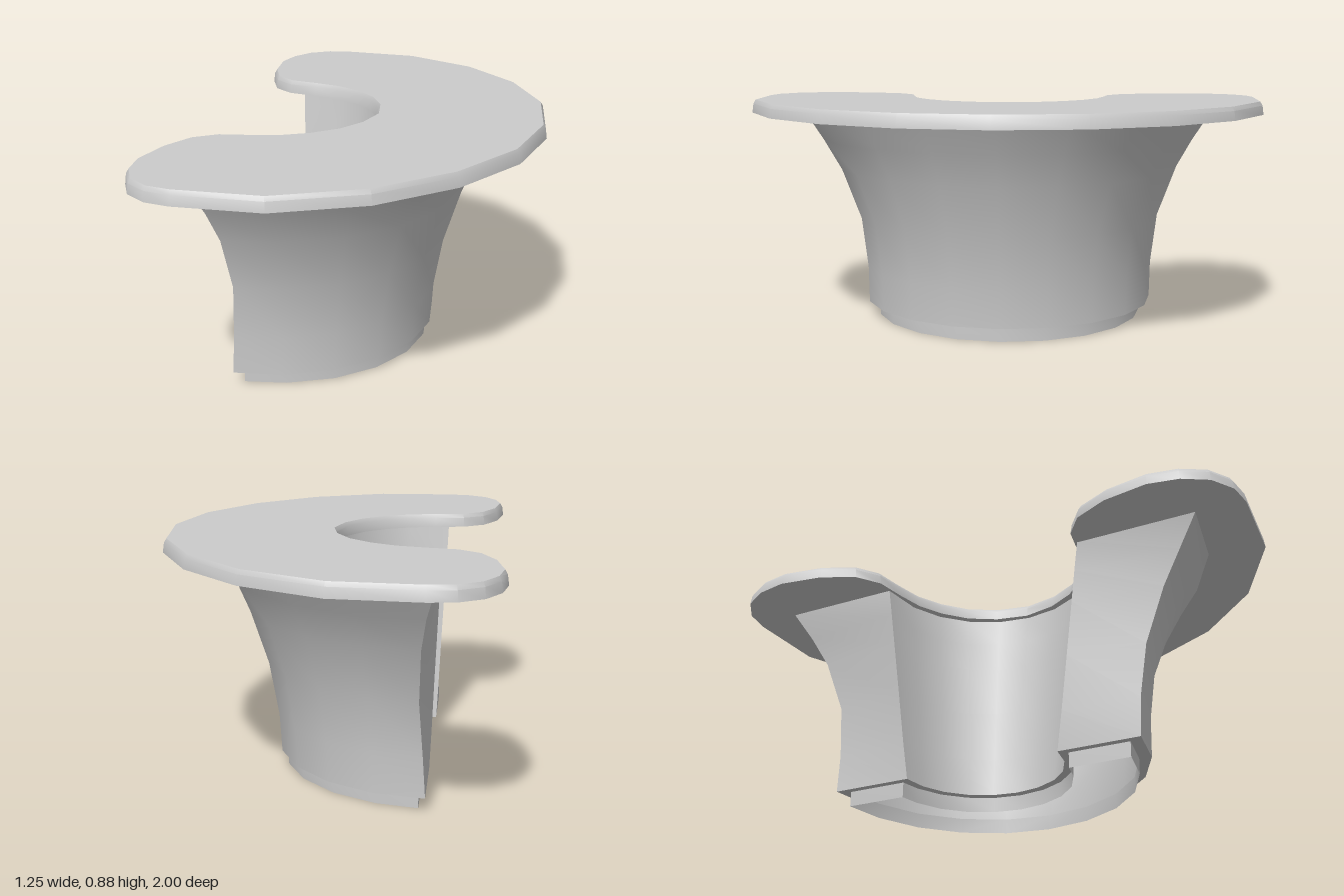
import * as THREE from 'three';
import { toCreasedNormals } from 'three/addons/utils/BufferGeometryUtils.js';

const CX = -0.38; // centre of the desk's arcs
const SEG = 10;
const material = new THREE.MeshStandardMaterial({ color: 0xcccccc, side: THREE.DoubleSide });

function addMesh(parent, name, geometry) {
  const mesh = new THREE.Mesh(geometry, material);
  mesh.name = name;
  parent.add(mesh);
}

// Surface through rows of points, smooth within itself
function surface(rows) {
  const n = rows[0].length, index = [];
  for (let j = 0; j < rows.length - 1; j++) {
    for (let i = 0; i < n - 1; i++) {
      const a = j * n + i, c = a + n;
      index.push(a, a + 1, c, a + 1, c + 1, c);
    }
  }
  const geometry = new THREE.BufferGeometry();
  geometry.setAttribute('position', new THREE.Float32BufferAttribute(rows.flat(2), 3));
  geometry.setIndex(index);
  geometry.computeVertexNormals();
  return geometry;
}

// Half-ring arc from +z to -z whose two end points sit at endX
function arc(y, rx, rz, endX) {
  const points = [];
  for (let i = 0; i <= SEG; i++) {
    const t = Math.PI * (0.5 - i / SEG);
    const x = i % SEG === 0 ? endX : CX + rx * Math.cos(t);
    points.push([x, y, rz * Math.sin(t)]);
  }
  return points;
}

// Level: y, outer x radius, outer z radius, inner radius, outer end x, inner end x
function ring([y, rx, rz, ri, outerX, innerX]) {
  return { outer: arc(y, rx, rz, outerX), inner: arc(y, ri, ri, innerX).reverse() };
}

// Four walls of a hollow half ring lofted through its levels
function halfRing(parent, name, levels) {
  const group = new THREE.Group();
  group.name = name;
  parent.add(group);
  const rings = levels.map(ring);
  addMesh(group, 'outerWall', surface(rings.map(r => r.outer)));
  addMesh(group, 'innerWall', surface(rings.map(r => r.inner)));
  addMesh(group, 'backEnd', surface(rings.map(r => [r.outer[SEG], r.inner[0]])));
  addMesh(group, 'frontEnd', surface(rings.map(r => [r.inner[SEG], r.outer[0]])));
}

// Kidney-shaped top with a slightly tapered, chamfered rim
function worktop() {
  const half = [
    [0.625, 0], [0.575, 0.32], [0.425, 0.61], [0.2, 0.84], [-0.09, 0.985], [-0.39, 1],
    [-0.48, 0.985], [-0.56, 0.93], [-0.61, 0.84], [-0.63, 0.73], [-0.605, 0.57],
    [-0.55, 0.45], [-0.47, 0.39], [-0.36, 0.37], [-0.26, 0.345], [-0.17, 0.295],
    [-0.09, 0.22], [-0.035, 0.12], [-0.01, 0],
  ];
  const mirrored = half.slice(1, -1).reverse().map(([x, z]) => [x, -z]);
  const shape = new THREE.Shape([...half, ...mirrored].map(p => new THREE.Vector2(...p)));
  const geometry = new THREE.ExtrudeGeometry(shape, { depth: 2, steps: 2, bevelEnabled: false });
  const heights = [0.83, 0.865, 0.88], insets = [0, 0.005, 0.014];
  const pos = geometry.attributes.position;
  const p = new THREE.Vector2(), spine = new THREE.Vector2();
  for (let i = 0; i < pos.count; i++) {
    const level = Math.round(pos.getZ(i));
    p.set(pos.getX(i), pos.getY(i));
    // Nearest point on the middle line of the top
    spine.set(Math.max(p.x - CX, 0), p.y).setLength(0.69);
    spine.x += CX;
    p.add(spine.sub(p).setLength(insets[level]));
    pos.setXYZ(i, p.x, p.y, heights[level]);
  }
  geometry.rotateX(-Math.PI / 2);
  return toCreasedNormals(geometry, 0.5);
}

export function createModel() {
  const desk = new THREE.Group();
  desk.name = 'curvedDesk';

  addMesh(desk, 'worktop', worktop());

  // Flared body, open underneath
  const body = [
    [0.055, 0.588, 0.585, 0.29, -0.38, -0.38],
    [0.2, 0.598, 0.587, 0.31, -0.37, -0.386],
    [0.4, 0.635, 0.61, 0.335, -0.355, -0.393],
    [0.6, 0.7, 0.685, 0.36, -0.362, -0.401],
    [0.72, 0.75, 0.755, 0.375, -0.38, -0.406],
    [0.835, 0.81, 0.83, 0.39, -0.41, -0.41],
  ];
  halfRing(desk, 'body', body);

  // Recessed plinth
  const plinth = y => [y, 0.565, 0.54, 0.32, -0.355, -0.355];
  halfRing(desk, 'plinth', [plinth(0), plinth(0.055)]);

  // Ledge joining the body to the plinth
  const loop = level => {
    const { outer, inner } = ring(level);
    return [...outer, ...inner, outer[0]];
  };
  addMesh(desk, 'ledge', surface([loop(plinth(0.055)), loop(body[0])]));

  return desk;
}
